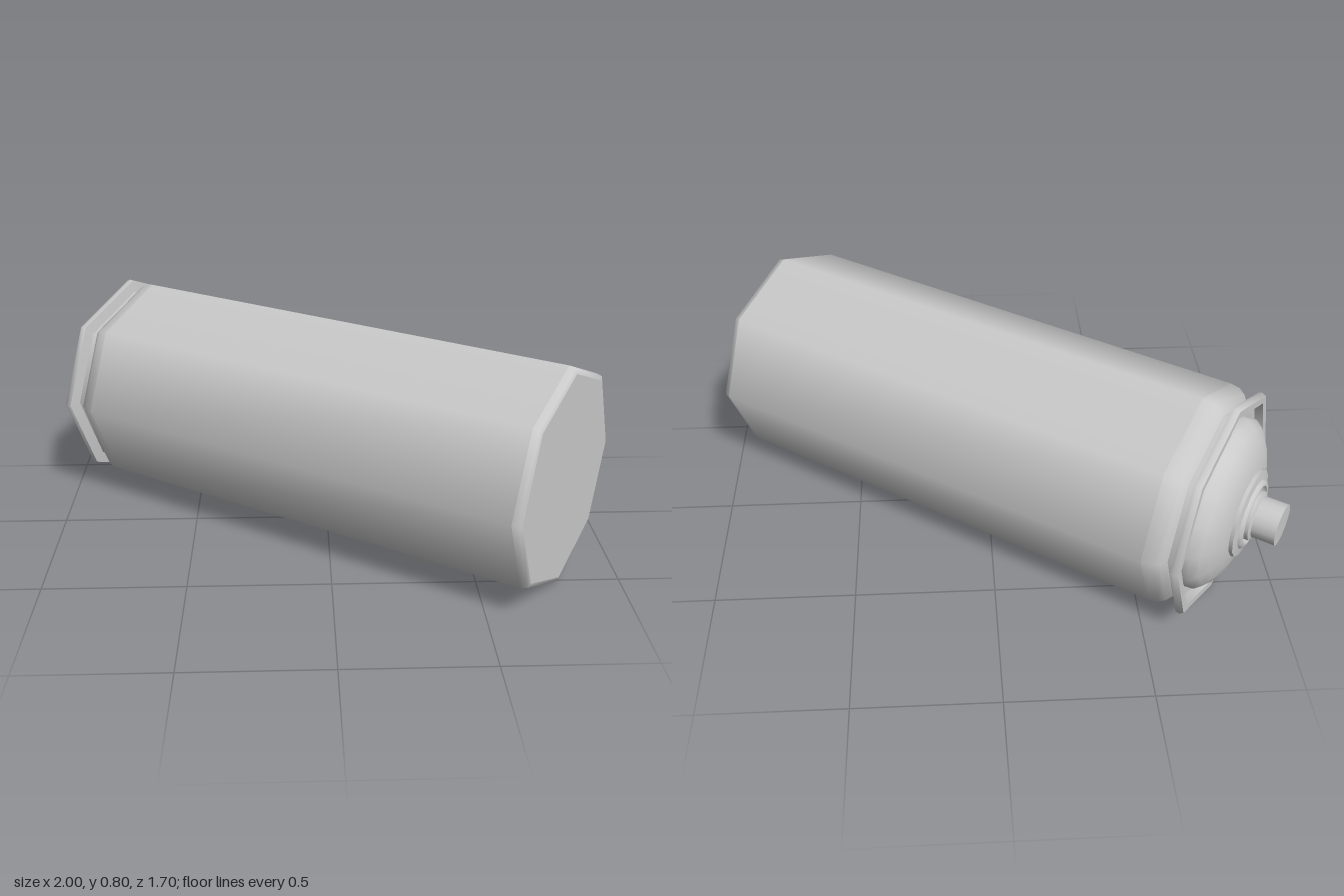
import * as THREE from 'three';

const material = new THREE.MeshStandardMaterial({ color: 0xcccccc, side: THREE.DoubleSide });

// Turned part: each run of [radius, height] points is smooth, with a hard edge between runs.
function turned(name, sides, runs) {
  const part = new THREE.Group();
  part.name = name;
  runs.forEach((run, i) => {
    const points = run.map(([r, h]) => new THREE.Vector2(r, h));
    const mesh = new THREE.Mesh(new THREE.LatheGeometry(points, sides), material);
    mesh.name = name + 'Section' + (i + 1);
    part.add(mesh);
  });
  return part;
}

export function createModel() {
  const can = new THREE.Group();
  can.name = 'sprayCan';

  // Eight-sided body with a flat base and a rounded shoulder
  can.add(turned('body', 8, [
    [[0, -0.943], [0.375, -0.943]],
    [[0.375, -0.943], [0.392, -0.936], [0.399, -0.915]],
    [[0.399, -0.915], [0.399, 0.81]],
    [[0.399, 0.81], [0.393, 0.845], [0.377, 0.868], [0.355, 0.885]],
    [[0.355, 0.885], [0.355, 0.912]],
  ]));

  // Crimped rim with an inner groove
  can.add(turned('rim', 8, [
    [[0.355, 0.905], [0.4, 0.912]],
    [[0.4, 0.912], [0.402, 0.925], [0.395, 0.939]],
    [[0.395, 0.939], [0.368, 0.939]],
    [[0.368, 0.939], [0.355, 0.912]],
    [[0.355, 0.912], [0.27, 0.908]],
  ]));

  // Domed top
  can.add(turned('dome', 16, [
    [[0.31, 0.905], [0.307, 0.94], [0.285, 0.967], [0.25, 0.99], [0.2, 1.01], [0.15, 1.018]],
  ]));

  // Valve collar with a shallow ring groove
  can.add(turned('valveCollar', 16, [
    [[0.157, 1.01], [0.157, 1.03]],
    [[0.157, 1.03], [0.125, 1.035]],
    [[0.125, 1.035], [0.118, 1.047], [0.105, 1.047]],
    [[0.105, 1.047], [0.1, 1.03], [0.07, 1.03]],
  ]));

  // Nozzle button
  can.add(turned('nozzle', 16, [
    [[0.088, 1.025], [0.088, 1.055]],
    [[0.088, 1.055], [0.073, 1.06]],
    [[0.073, 1.06], [0.073, 1.141]],
    [[0.073, 1.141], [0, 1.141]],
  ]));

  // Lay the can on its side, nozzle towards the back
  const axis = new THREE.Vector3(-0.83, 0, -0.557).normalize();
  const up = new THREE.Vector3(0, 1, 0);
  const across = new THREE.Vector3().crossVectors(axis, up);
  can.quaternion.setFromRotationMatrix(new THREE.Matrix4().makeBasis(across, axis, up));
  can.position.y = 0.402;

  const model = new THREE.Group();
  model.add(can);
  return model;
}
